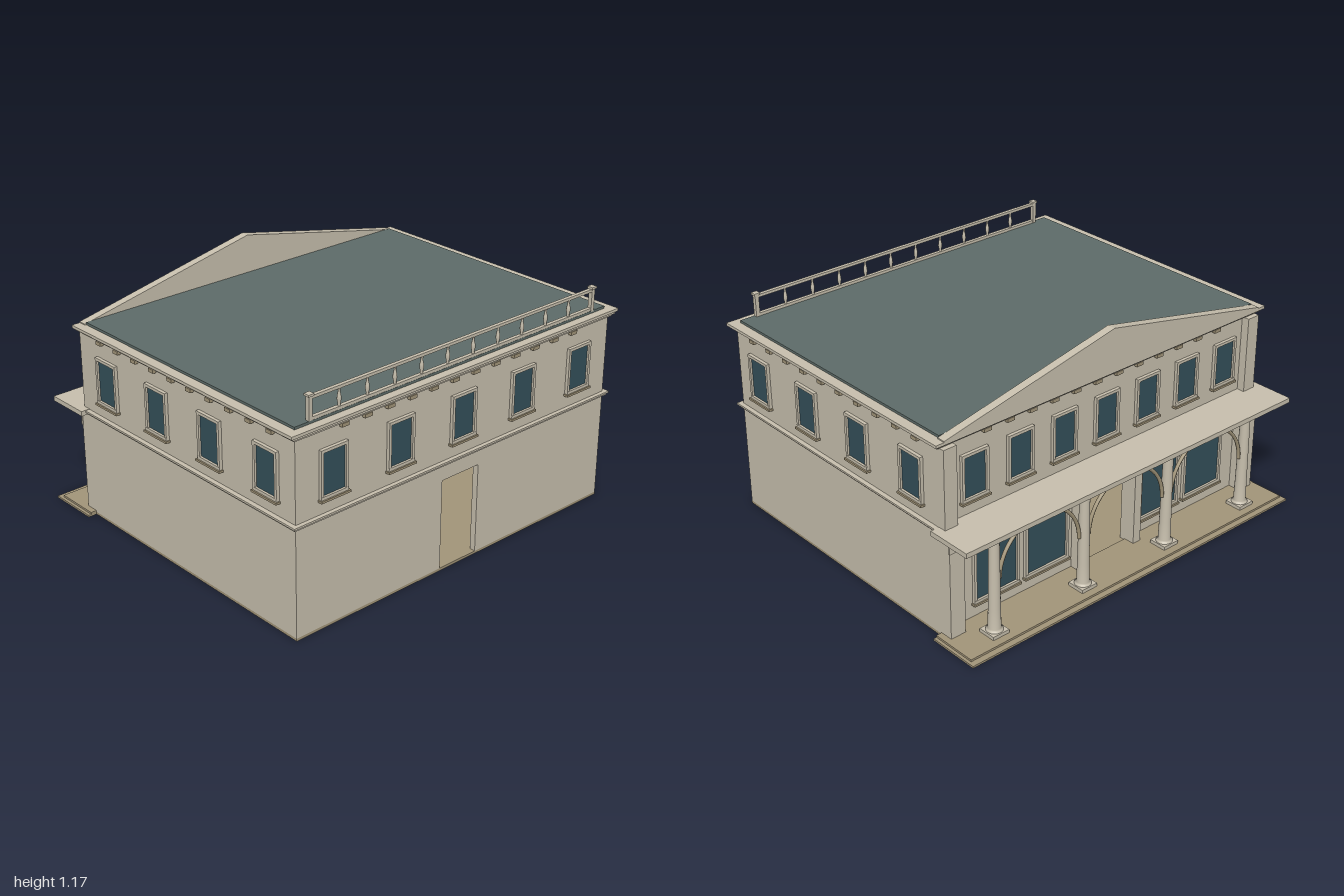
import * as THREE from 'three';

const mat = (name, color, side = THREE.FrontSide) => {
  const m = new THREE.MeshStandardMaterial({ color, side });
  m.name = name;
  return m;
};

export function createModel() {
  const stone = mat('stone', 0xc8c0ae);
  const tan = mat('tan stone', 0xa3967a);
  const slate = mat('slate', 0x5e6c69);
  const glass = mat('window glass', 0x34505a);

  const model = new THREE.Group();
  model.name = 'house';

  const add = (parent, name, geo, material) => {
    const m = new THREE.Mesh(geo, material);
    m.name = name;
    parent.add(m);
    return m;
  };
  // box given by its minimum and maximum on each axis
  const box = (name, x0, x1, y0, y1, z0, z1, material = stone, parent = model) => {
    const m = add(parent, name, new THREE.BoxGeometry(x1 - x0, y1 - y0, z1 - z0), material);
    m.position.set((x0 + x1) / 2, (y0 + y1) / 2, (z0 + z1) / 2);
    return m;
  };

  const W = 0.955, F = 0.84, B = -0.61, T = 0.03;

  // floors and porch steps
  box('floor', -W, W, 0, 0.013, B, F, tan);
  box('porchLowerStep', -1, 1, 0, 0.01, -0.87, B, tan);
  box('porchUpperStep', -0.985, 0.985, 0.01, 0.02, -0.84, B, tan);

  // hollow lower storey with a doorway in the front and in the back
  for (const s of [-1, 1]) {
    const side = (name, a, b, y0, y1, z0, z1) =>
      box(name, Math.min(s * a, s * b), Math.max(s * a, s * b), y0, y1, z0, z1);
    side('sideWall', W - T, W, 0.013, 0.53, B, F);
    side('frontWall', 0.113, W - T, 0.013, 0.53, F - T, F);
    side('backWall', 0.15, W - T, 0.013, 0.53, B, B + T);
    side('lowerCornerPilaster', 0.875, W, 0.02, 0.53, -0.675, B);
    side('upperCornerPilaster', 0.885, W, 0.553, 0.935, -0.65, B);
    side('doorPilaster', 0.15, 0.195, 0.02, 0.53, -0.665, B);
    side('pilasterCapital', 0.87, W + 0.003, 0.45, 0.5, -0.68, -0.67);
  }
  box('doorHead', -0.113, 0.113, 0.455, 0.53, F - T, F);
  box('backDoorHead', -0.15, 0.15, 0.5, 0.53, B, B + T);
  box('backLintel', -0.875, 0.875, 0.44, 0.5, -0.64, B, slate);
  box('backTransom', -0.15, 0.15, 0.44, 0.5, B, B + T, slate);

  // upper storey, belt course and porch roof
  box('upperStorey', -W, W, 0.53, 0.94, B, F);
  box('beltCourse', -0.97, 0.97, 0.533, 0.543, B, F + 0.013);
  box('beltCourseTop', -0.978, 0.978, 0.543, 0.552, B, F + 0.02);
  box('porchRoof', -1, 1, 0.53, 0.554, -0.838, B);

  // stepped cornice
  box('corniceLower', -0.967, 0.967, 0.935, 0.945, -0.625, 0.852);
  box('corniceMiddle', -0.98, 0.98, 0.945, 0.957, -0.637, 0.86);
  box('corniceTop', -0.993, 0.993, 0.957, 0.971, -0.65, 0.867);
  box('roof', -0.943, 0.943, 0.971, 0.983, -0.608, 0.825, slate);

  // brackets under the cornice
  for (let i = 0; i < 12; i++) {
    const x = (i - 5.5) * 0.127;
    box('frontBracket', x - 0.02, x + 0.02, 0.919, 0.936, F, F + 0.018, tan);
    box('backBracket', x - 0.02, x + 0.02, 0.919, 0.936, B - 0.018, B, tan);
  }
  for (let i = 0; i < 10; i++) {
    const z = 0.11 + (i - 4.5) * 0.131;
    for (const s of [-1, 1]) {
      const x = s * (W + 0.009);
      box('sideBracket', x - 0.009, x + 0.009, 0.919, 0.936, z - 0.017, z + 0.017, tan);
    }
  }

  // gable on the back edge
  const tri = new THREE.Shape([[-0.95, 0.971], [0.95, 0.971], [0.95, 0.976], [0, 1.173], [-0.95, 0.976]]
    .map(([x, y]) => new THREE.Vector2(x, y)));
  add(model, 'gable', new THREE.ExtrudeGeometry(tri, { depth: 0.042, bevelEnabled: false }), stone)
    .position.z = -0.65;

  // framed window facing +z, centred on x and standing on y0
  const addWindow = (x, z, turn, w, y0, y1) => {
    const g = new THREE.Group();
    g.name = 'window';
    const h = w / 2, t = 0.014;
    box('glass', -h + t, h - t, y0, y1 - t, 0, 0.006, glass, g);
    for (const s of [-1, 1]) {
      const c = s * (h - t / 2);
      box('frameSide', c - t / 2, c + t / 2, y0, y1 - t, 0, 0.016, stone, g);
    }
    box('frameTop', -h, h, y1 - t, y1, 0, 0.016, stone, g);
    box('frameBottom', -h, h, y0 - 0.008, y0 + 0.006, 0, 0.017, stone, g);
    box('sill', -h - 0.006, h + 0.006, y0 - 0.018, y0 - 0.008, 0, 0.024, tan, g);
    g.position.set(x, 0, z);
    g.rotation.y = turn;
    model.add(g);
  };
  for (let i = -2; i <= 2; i++) addWindow(i * 0.377, F, 0, 0.15, 0.632, 0.85);
  for (let i = -3; i <= 3; i++) addWindow(i * 0.255, B, Math.PI, 0.146, 0.632, 0.85);
  for (const z of [0.667, 0.299, -0.07, -0.44]) {
    addWindow(W, z, Math.PI / 2, 0.15, 0.632, 0.85);
    addWindow(-W, z, -Math.PI / 2, 0.15, 0.632, 0.85);
  }
  for (const x of [-0.65, -0.355, 0.355, 0.65]) addWindow(x, B, Math.PI, 0.26, 0.1, 0.45);

  // porch columns
  const lathe = (pts, n) => new THREE.LatheGeometry(pts.map(([r, y]) => new THREE.Vector2(r, y)), n);
  const shaft = lathe([[0.04, 0.035], [0.038, 0.045], [0.03, 0.05], [0.028, 0.15], [0.024, 0.485],
    [0.03, 0.49], [0.026, 0.497], [0.036, 0.515]], 20);
  const cz = -0.757, gap = 0.522;
  for (let i = 0; i < 4; i++) {
    const x = (i - 1.5) * gap;
    add(model, 'columnShaft', shaft, stone).position.set(x, 0, cz);
    box('columnPlinth', x - 0.045, x + 0.045, 0.02, 0.037, cz - 0.045, cz + 0.045);
    box('columnCapital', x - 0.05, x + 0.05, 0.514, 0.53, cz - 0.05, cz + 0.05);
  }

  // slim arches between the columns
  const arch = new THREE.TorusGeometry(gap / 2 - 0.03, 0.009, 8, 28, Math.PI);
  for (let i = -1; i <= 1; i++) add(model, 'porchArch', arch, tan).position.set(i * gap, 0.285, cz);

  // roof balustrade along the front
  const rz = 0.815;
  for (const s of [-1, 1]) {
    const x = s * 0.857;
    box('railPost', x - 0.01, x + 0.01, 0.971, 1.09, rz - 0.01, rz + 0.01);
    box('railPostCap', x - 0.015, x + 0.015, 1.09, 1.1, rz - 0.015, rz + 0.015);
  }
  box('railTop', -0.857, 0.857, 1.076, 1.09, rz - 0.009, rz + 0.009);
  box('railBottom', -0.857, 0.857, 0.983, 0.997, rz - 0.009, rz + 0.009);
  const baluster = lathe([[0.007, 0.995], [0.006, 1.005], [0.01, 1.025], [0.009, 1.04], [0.005, 1.06], [0.007, 1.078]], 10);
  for (let i = 0; i < 10; i++) add(model, 'baluster', baluster, stone).position.set((i - 4.5) * 0.155, 0, rz);

  return model;
}
